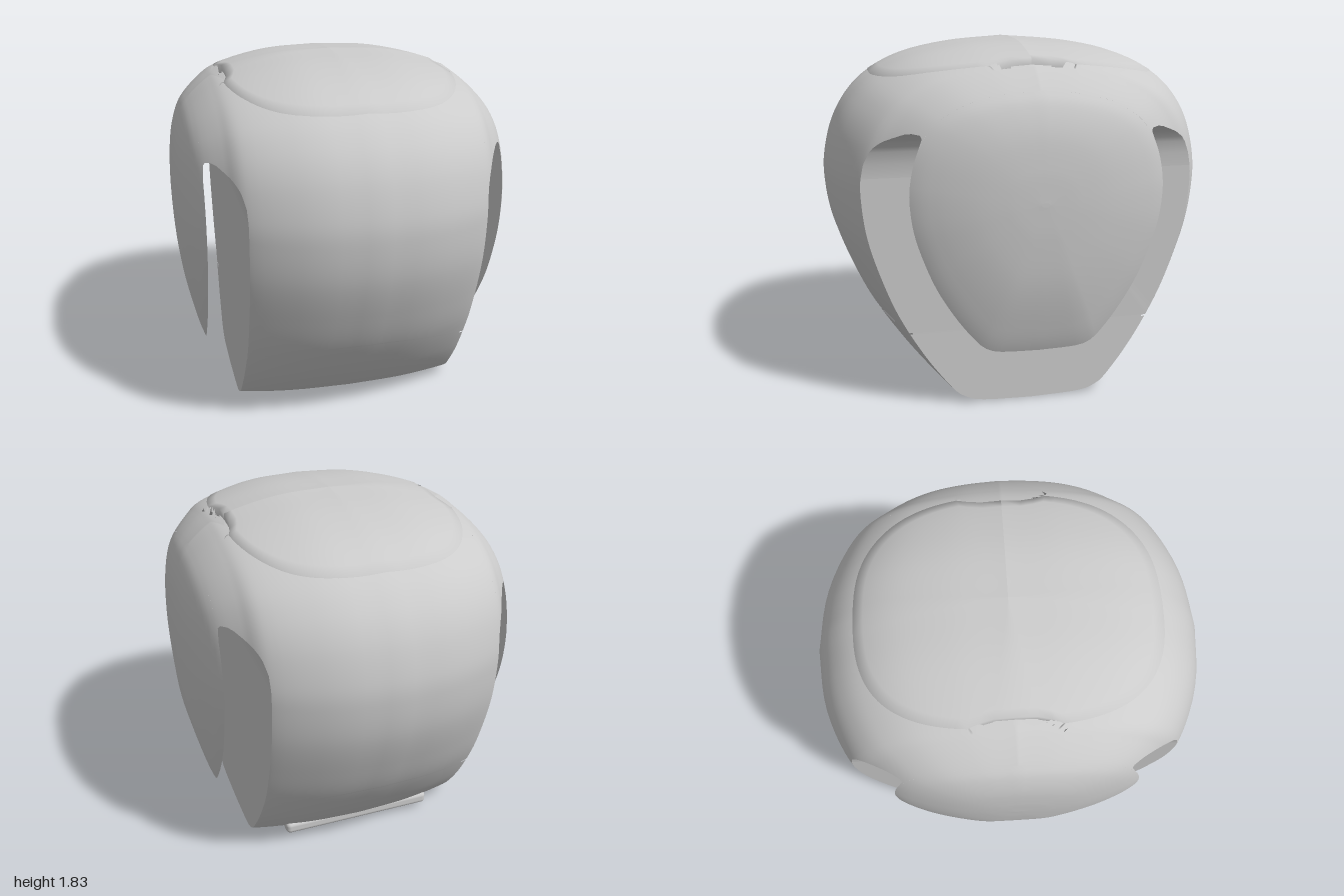
import * as THREE from 'three';
import { RoundedBoxGeometry } from 'three/addons/geometries/RoundedBoxGeometry.js';

const V = (x, y, z = 0) => new THREE.Vector3(x, y, z);
const spline = (pts) => new THREE.CatmullRomCurve3(pts, false, 'catmullrom', 0.5);

// Half outline on the centre plane (z, y), from the crown to the base
const outline = spline([
  [0, 1.83], [0.3, 1.805], [0.56, 1.75], [0.75, 1.66], [0.87, 1.55], [0.95, 1.41], [0.995, 1.23], [0.998, 1.08],
  [0.97, 0.9], [0.9, 0.7], [0.8, 0.49], [0.65, 0.27], [0.5, 0.1], [0.42, 0.04], [0.3, 0.01], [0, 0],
].map(([z, y]) => V(z, y)));

// Sections from the middle out: x, width factor, top, bottom
const rows = [
  [0, 1, 1.83, 0], [0.24, 0.975, 1.82, 0], [0.42, 0.92, 1.79, 0], [0.58, 0.835, 1.745, 0], [0.66, 0.74, 1.7, 0.15],
  [0.75, 0.62, 1.62, 0.33], [0.8, 0.5, 1.55, 0.5], [0.84, 0.34, 1.43, 0.7], [0.86, 0.18, 1.27, 0.92], [0.866, 0.02, 1.11, 1.09],
];
const sections = spline(rows.map((r) => V(r[0], r[1], r[2])));
const bottoms = spline(rows.map((r) => V(r[3], 0)));

const CORE = 0.58, WING = 0.75, MID = 1.1;

// Underside of the bridge over the side slot (x, y)
const arch = [
  [0.58, 1.2], [0.584, 1.27], [0.6, 1.33], [0.612, 1.355], [0.63, 1.38], [0.64, 1.39], [0.66, 1.405],
  [0.69, 1.425], [0.71, 1.43], [0.735, 1.425], [0.745, 1.41], [0.75, 1.35],
];

function bisect(f, lo, hi) {
  for (let i = 0; i < 40; i++) {
    const m = (lo + hi) / 2;
    if (f(m)) lo = m; else hi = m;
  }
  return (lo + hi) / 2;
}

// Point of the outer hull: u runs outwards, t runs round from the crown (0) to the base (1)
function hull(u, t, recess = true) {
  if (t > 1) t -= 2;
  if (t < -1) t += 2;
  const s = sections.getPoint(u);
  const p = outline.getPointAt(Math.abs(t));
  const bottom = Math.max(0, bottoms.getPoint(u).x);
  const z = Math.sign(t) * Math.max(0, p.x) * s.y;
  let x = s.x;
  let y = p.y > MID ? MID + (p.y - MID) * (s.z - MID) / 0.73
    : MID - (MID - Math.max(0, p.y)) * (MID - bottom) / MID;
  // Base flares a little
  if (x < CORE + 0.001) x *= 1 + 0.05 * Math.max(0, 0.45 - y);
  // Finger recess beside the lid
  if (recess && y > 1.5 && x > 0.56 && x < 0.63 && Math.abs(z) < 0.13 + (x - 0.56) * 1.9) y -= 0.06 * (0.63 - x) / 0.07;
  return V(x, y, z);
}
const uAt = (x) => bisect((u) => sections.getPoint(u).x < x, 0, 1);
const tAt = (u, y) => bisect((t) => hull(u, t, false).y > y, 0, 1);

function build(pos, index, normals) {
  const g = new THREE.BufferGeometry();
  g.setAttribute('position', new THREE.Float32BufferAttribute(pos, 3));
  g.setIndex(index);
  if (normals) g.setAttribute('normal', new THREE.Float32BufferAttribute(normals, 3));
  else g.computeVertexNormals();
  return g;
}

function gridIndex(nr, n) {
  const index = [];
  for (let i = 0; i < nr - 1; i++) for (let j = 0; j < n; j++) {
    const a = i * (n + 1) + j, b = a + n + 1;
    index.push(a, a + 1, b, a + 1, b + 1, b);
  }
  return index;
}

// Smooth skin through rings { u, t0, t1 }
function loft(rings, n) {
  const pos = [], nor = [], e = 0.0008;
  for (const { u, t0, t1 } of rings) for (let j = 0; j <= n; j++) {
    const t = t0 + (t1 - t0) * j / n;
    pos.push(...hull(u, t).toArray());
    const du = hull(Math.min(1, u + e), t, false).sub(hull(Math.max(0, u - e), t, false));
    const normal = hull(u, t + e).sub(hull(u, t - e)).cross(du);
    if (u === 0) normal.x = 0;
    nor.push(...normal.normalize().toArray());
  }
  return build(pos, gridIndex(rings.length, n), nor);
}

// Flat end face over one ring
function cap({ u, t0, t1 }, n, outward) {
  const pts = [], centre = V(0, 0, 0), index = [];
  for (let j = 0; j <= n; j++) pts.push(hull(u, t0 + (t1 - t0) * j / n));
  pts.forEach((p) => centre.addScaledVector(p, 1 / pts.length));
  const m = pts.length;
  for (let j = 0; j < m; j++) {
    const k = (j + 1) % m;
    index.push(m, outward ? j : k, outward ? k : j);
  }
  return build([...pts, centre].flatMap((p) => p.toArray()), index);
}

function mirrored(geo) {
  const g = geo.clone().scale(-1, 1, 1), a = g.index.array;
  for (let i = 0; i < a.length; i += 3) [a[i], a[i + 1]] = [a[i + 1], a[i]];
  return g;
}

// Lid draped over the crown, waisted at the finger recesses
function lidGeometry() {
  const pos = [], nr = 15, n = 96;
  for (let i = 0; i <= nr; i++) for (let j = 0; j <= n; j++) {
    const a = j / n * Math.PI * 2, k = Math.min(1, i / (nr - 1));
    const c = Math.cos(a), s = Math.sin(a);
    const z = Math.sign(s) * Math.abs(s) ** (2 / 2.7) * 0.75;
    const waist = 0.56 + Math.max(0, Math.abs(z) - 0.13) * 0.36;
    const x = Math.min(Math.abs(c) ** (2 / 2.7) * 0.6, waist) * k;
    const u = uAt(x);
    const t = bisect((v) => hull(u, v, false).z < Math.abs(z * k), 0, 0.45);
    pos.push(Math.sign(c) * x, hull(u, t, false).y + (i === nr ? -0.04 : 0.003), z * k);
  }
  const index = gridIndex(nr + 1, n);
  for (let i = 0; i < index.length; i += 3) [index[i], index[i + 1]] = [index[i + 1], index[i]];
  return build(pos, index.reverse().slice().reverse().map((v, i, l) => l[i - i % 3 + 2 - i % 3]));
}

export function createModel() {
  const group = new THREE.Group();
  const material = new THREE.MeshStandardMaterial({ color: 0xcccccc });
  const thin = new THREE.MeshStandardMaterial({ color: 0xcccccc, side: THREE.DoubleSide });
  const add = (name, geo, mat = material) => {
    const mesh = new THREE.Mesh(geo, mat);
    mesh.name = name;
    group.add(mesh);
    return mesh;
  };
  const addPair = (name, geo, mat) => {
    add(name + 'Left', geo, mat);
    add(name + 'Right', mirrored(geo), mat);
  };

  // Central body, split by a curved seam into shell and tray
  const coreX = [0, 0.06, 0.12, 0.18, 0.24, 0.3, 0.36, 0.42, 0.47, 0.52, 0.559, 0.561, 0.57, CORE];
  const seam = (x) => 0.49 - 0.09 * (x / CORE) ** 2;
  const shell = [], tray = [], filler = [];
  for (const x of coreX) {
    const u = x === 0 ? 0 : uAt(x);
    const up = tAt(u, seam(x) + 0.004), low = tAt(u, seam(x) - 0.004);
    shell.push({ u, t0: -up, t1: up });
    tray.push({ u, t0: low, t1: 2 - low });
    filler.push({ u, t0: -1, t1: 1 });
  }
  addPair('bodyShell', loft(shell, 200));
  addPair('bodySide', cap(shell.at(-1), 200, true));
  addPair('tray', loft(tray, 60));
  addPair('traySide', cap(tray.at(-1), 60, true));
  const inset = (g) => g.scale(0.985, 0.985, 0.985).translate(0, 0.014, 0);
  addPair('innerBody', inset(loft(filler, 80)));
  addPair('innerSide', inset(cap(filler.at(-1), 80, true)));

  // Bridges over the side slots, with arched undersides
  const under = [];
  const bridge = arch.map(([x, y]) => {
    const u = uAt(x), t = tAt(u, y);
    for (const s of [-1, 1]) under.push(...hull(u, s * t).toArray());
    return { u, t0: -t, t1: t };
  });
  addPair('bridge', loft(bridge, 200));
  addPair('slotArch', build(under, gridIndex(arch.length, 1)), thin);

  // Side wings hanging outside the slots
  const u0 = uAt(WING), wing = [];
  for (let i = 0; i <= 16; i++) wing.push({ u: u0 + (1 - u0) * i / 16, t0: -1, t1: 1 });
  addPair('wing', loft(wing, 100));
  addPair('wingInnerFace', cap(wing[0], 100, false));
  addPair('wingTip', cap(wing.at(-1), 100, true));

  add('lid', lidGeometry(), thin);

  // Grip lip low on the back
  add('gripLip', new RoundedBoxGeometry(0.84, 0.07, 0.14, 3, 0.025)).position.set(0, 0.07, -0.41);
  return group;
}
